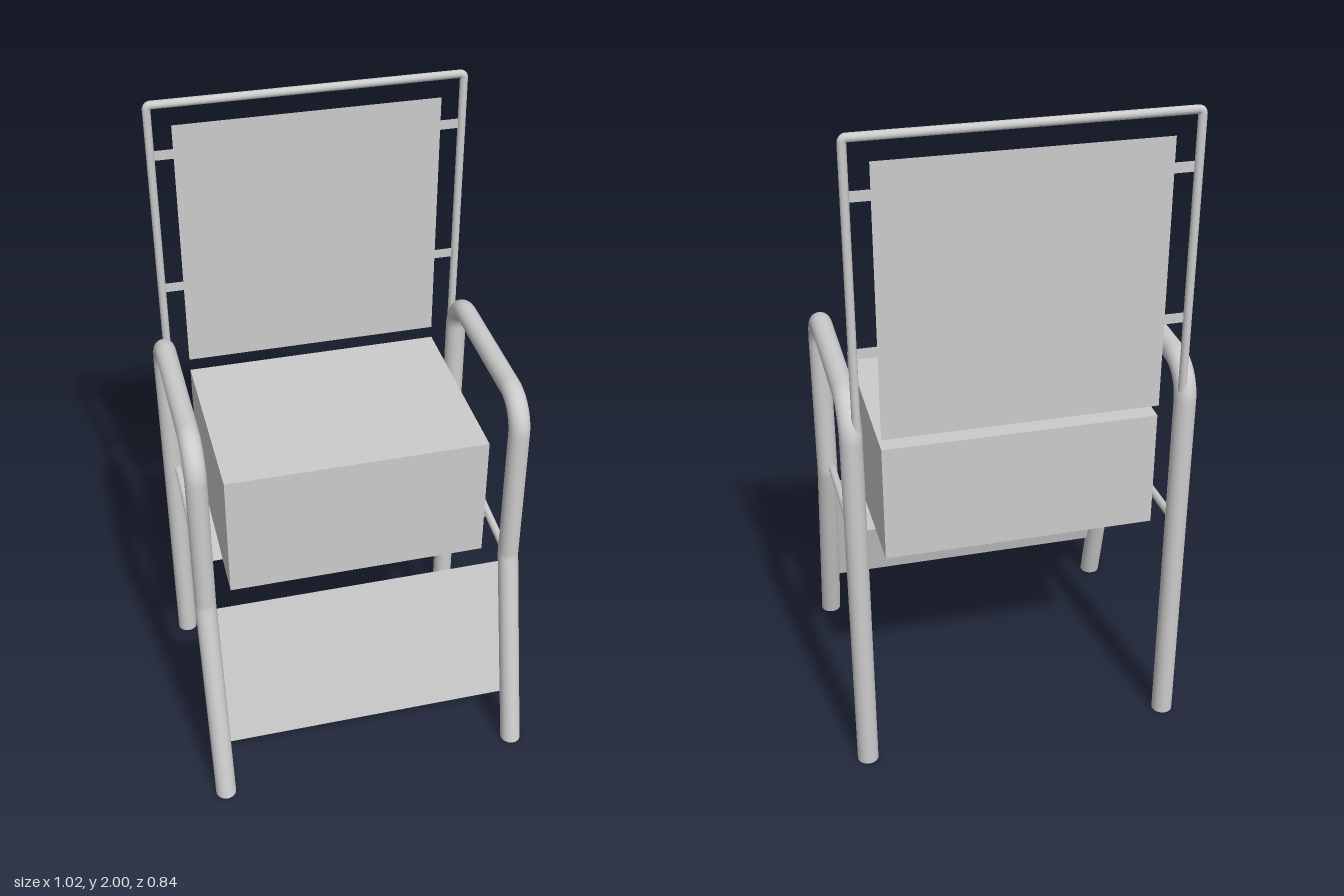
import * as THREE from 'three';

const material = new THREE.MeshStandardMaterial({ color: 0xcccccc, side: THREE.DoubleSide });
const flatMaterial = new THREE.MeshStandardMaterial({ color: 0xcccccc, side: THREE.DoubleSide, flatShading: true });

// Round pipe along a flat path, with mitred bends; the first ring may be cut level
function pipeGeometry(path, radius, sides = 20, levelStart = false) {
  const pts = path.getPoints(12).filter((p, i, all) => i === 0 || p.distanceTo(all[i - 1]) > 1e-4);
  const normals = pts.slice(1).map((p, i) => {
    const t = p.clone().sub(pts[i]).normalize();
    return new THREE.Vector2(-t.y, t.x);
  });
  const positions = [], index = [];
  pts.forEach((p, i) => {
    const before = normals[Math.max(i - 1, 0)];
    const after = normals[Math.min(i, normals.length - 1)];
    const m = i === 0 && levelStart ? new THREE.Vector2(-1, 0) : before.clone().add(after).normalize();
    m.multiplyScalar(radius / m.dot(after));
    for (let j = 0; j < sides; j++) {
      const a = (j / sides) * Math.PI * 2;
      positions.push(p.x + m.x * Math.cos(a), p.y + m.y * Math.cos(a), radius * Math.sin(a));
      if (i === pts.length - 1) continue;
      const p0 = i * sides + j, p1 = i * sides + ((j + 1) % sides);
      index.push(p0, p1, p0 + sides, p1, p1 + sides, p0 + sides);
    }
  });
  const g = new THREE.BufferGeometry();
  g.setAttribute('position', new THREE.Float32BufferAttribute(positions, 3));
  g.setIndex(index);
  g.computeVertexNormals();
  return g;
}

// Flat panels, each given by four corners
function panelGeometry(...quads) {
  const g = new THREE.BufferGeometry();
  const corners = quads.flatMap(([a, b, c, d]) => [a, b, c, a, c, d]);
  g.setAttribute('position', new THREE.Float32BufferAttribute(corners.flat(), 3));
  g.computeVertexNormals();
  return g;
}

export function createModel() {
  const model = new THREE.Group();
  const add = (name, geometry, mat = material) => {
    const mesh = new THREE.Mesh(geometry, mat);
    mesh.name = name;
    model.add(mesh);
    return mesh;
  };

  // Side frames: splayed front leg, armrest and back leg in one bent pipe (path is z, y)
  const arm = new THREE.Path();
  arm.moveTo(0.389, 0);
  arm.lineTo(0.2285, 0.66);
  arm.lineTo(0.226, 0.67);
  arm.lineTo(0.226, 0.68);
  arm.lineTo(0.226, 1.133);
  arm.absarc(0.126, 1.133, 0.1, 0, Math.PI / 2, false);
  arm.lineTo(-0.287, 1.233);
  arm.absarc(-0.287, 1.133, 0.1, Math.PI / 2, Math.PI, false);
  arm.lineTo(-0.387, 0);

  // Seat rails between front and back legs
  const rail = new THREE.Path();
  rail.moveTo(0.226, 0.686);
  rail.lineTo(-0.387, 0.735);

  for (const [side, s] of [['left', 1], ['right', -1]]) {
    add(side + 'SideFrame', pipeGeometry(arm, 0.032, 24, true).rotateY(-Math.PI / 2)).position.x = s * 0.478;
    add(side + 'SeatRail', pipeGeometry(rail, 0.012, 12).rotateY(-Math.PI / 2)).position.x = s * 0.465;
  }

  // Thin back frame: an upside-down U
  const back = new THREE.Path();
  back.moveTo(0.463, 1.17);
  back.lineTo(0.463, 1.976);
  back.absarc(0.451, 1.976, 0.012, 0, Math.PI / 2, false);
  back.lineTo(-0.451, 1.988);
  back.absarc(-0.451, 1.976, 0.012, Math.PI / 2, Math.PI, false);
  back.lineTo(-0.463, 1.17);
  add('backFrame', pipeGeometry(back, 0.012, 12)).position.z = -0.397;

  // Backrest panel and its small tabs
  const upright = (x0, x1, y0, y1, z) => [[x0, y0, z], [x1, y0, z], [x1, y1, z], [x0, y1, z]];
  const w = 0.397, zb = -0.395;
  add('backrestPanel', panelGeometry(upright(-w, w, 1.13, 1.922, zb)), flatMaterial);
  for (const s of [-1, 1]) {
    for (const y of [1.385, 1.82]) {
      const [x0, x1] = s > 0 ? [w, 0.463] : [-0.463, -w];
      add('backrestTab', panelGeometry(upright(x0, x1, y, y + 0.03, zb)), flatMaterial);
    }
  }

  // Seat cushion: shell open below, its lower edge following the rails
  const zf = 0.205, zr = -0.39, top = 1.095, yf = 0.686, yr = 0.735;
  const wall = (x) => [[x, yf, zf], [x, yr, zr], [x, top, zr], [x, top, zf]];
  add('seatCushion', panelGeometry(
    upright(-w, w, yf, top, zf),
    upright(-w, w, yr, top, zr).reverse(),
    wall(w),
    wall(-w).reverse(),
    [[-w, top, zf], [w, top, zf], [w, top, zr], [-w, top, zr]],
  ), flatMaterial);

  // Strap across the rails under the cushion
  add('seatStrap', panelGeometry(
    [[-0.465, 0.698, 0.075], [0.465, 0.698, 0.075], [0.465, 0.722, -0.22], [-0.465, 0.722, -0.22]],
  ), flatMaterial);

  // Sloping panel between the front legs
  add('legPanel', panelGeometry(
    [[-0.46, 0.17, 0.34], [0.46, 0.17, 0.34], [0.46, 0.63, 0.215], [-0.46, 0.63, 0.215]],
  ), flatMaterial);

  return model;
}
